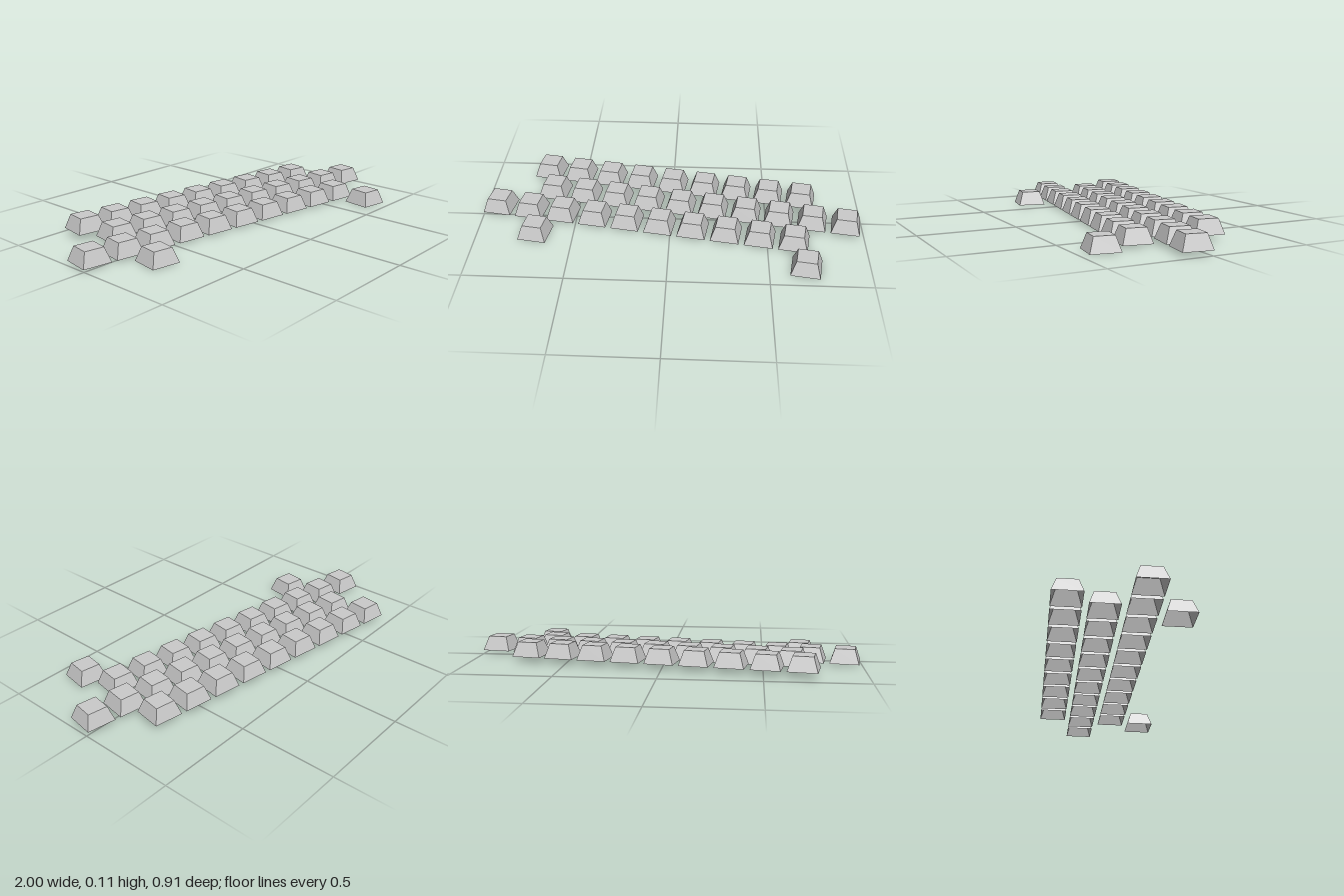
import * as THREE from 'three';

const PITCH = 0.1748;   // spacing of neighbouring keys
const BASE = 0.147;     // side of a keycap at its open bottom
const TOP = 0.1;        // side of a keycap at its top
const HEIGHT = 0.074;

// Hollow four-sided keycap, open underneath
function keycapGeometry() {
  const profile = [
    new THREE.Vector2(BASE / Math.SQRT2, 0),
    new THREE.Vector2(TOP / Math.SQRT2, HEIGHT),
    new THREE.Vector2(0, HEIGHT),
  ];
  const geometry = new THREE.LatheGeometry(profile, 4, Math.PI / 4).toNonIndexed();
  geometry.computeVertexNormals();
  return geometry;
}

export function createModel() {
  const model = new THREE.Group();
  model.name = 'keycaps';
  const material = new THREE.MeshStandardMaterial({
    color: 0xcccccc, flatShading: true, side: THREE.DoubleSide,
  });
  const geometry = keycapGeometry();

  // Rows from back to front, each a step lower; slots count along the row
  const run = (n) => Array.from({ length: n }, (_, i) => i);
  const rows = [
    { name: 'backRow', x: -0.741, y: 0.033, z: -0.264, slots: run(9) },
    { name: 'upperRow', x: -0.664, y: 0.022, z: -0.091, slots: run(10) },
    { name: 'lowerRow', x: -0.916, y: 0.011, z: 0.083, slots: run(10) },
    { name: 'frontRow', x: -0.665, y: 0, z: 0.257, slots: [0, 8] },
  ];

  // The whole layout is turned slightly about the vertical
  const layout = new THREE.Group();
  layout.name = 'keyLayout';
  layout.rotation.y = -THREE.MathUtils.degToRad(9);
  model.add(layout);

  for (const { name, x, y, z, slots } of rows) {
    const row = new THREE.Group();
    row.name = name;
    row.position.set(x, y, z);
    for (const slot of slots) {
      const key = new THREE.Mesh(geometry, material);
      key.name = 'keycap';
      key.position.x = slot * PITCH;
      row.add(key);
    }
    layout.add(row);
  }
  return model;
}
